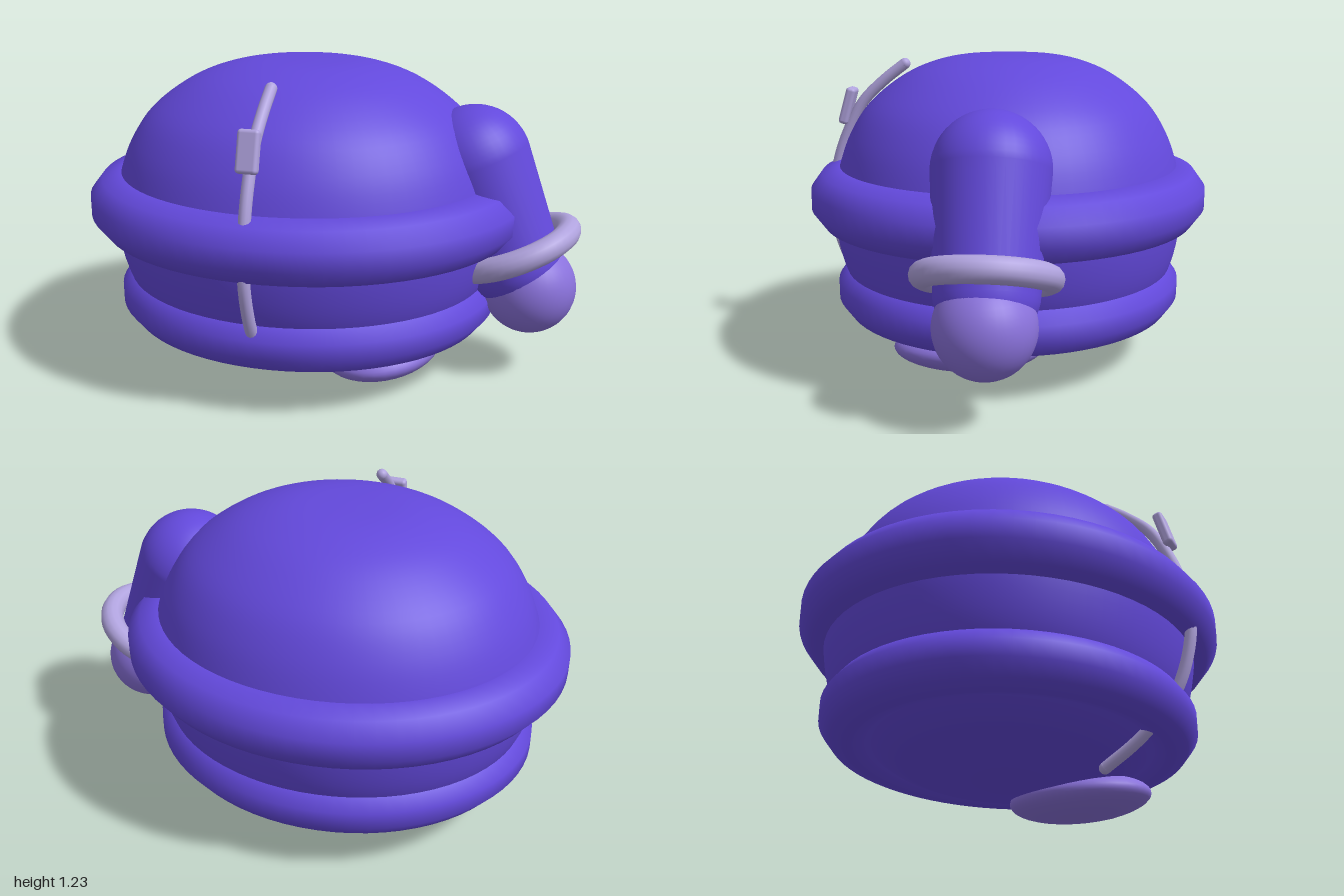
import * as THREE from 'three';
import { RoundedBoxGeometry } from 'three/addons/geometries/RoundedBoxGeometry.js';

const CX = -0.11; // body axis
const WIDE = 1.1; // body is wider than deep

function material(name, color) {
  const m = new THREE.MeshStandardMaterial({ color });
  m.name = name;
  return m;
}

// Ten-sided ring section, with the seam on the hidden inner side
function ringGeometry(radius, tube) {
  const pts = [];
  for (let i = 0; i <= 10; i++) {
    const a = THREE.MathUtils.degToRad(198 + i * 36);
    pts.push(new THREE.Vector2(radius + tube * Math.cos(a), tube * Math.sin(a)));
  }
  return new THREE.LatheGeometry(pts, 72);
}

export function createModel() {
  const group = new THREE.Group();
  const suit = material('suit violet', 0x6349dc);
  const skin = material('soft violet', 0x8a72dc);
  const trim = material('pale lavender', 0xb0a3de);

  function add(name, geometry, mat, x = 0, y = 0, z = 0) {
    const mesh = new THREE.Mesh(geometry, mat);
    mesh.name = name;
    mesh.position.set(x, y, z);
    group.add(mesh);
    return mesh;
  }

  // Rounded body, turned from a smooth profile
  const profile = new THREE.SplineCurve([
    [0, 0.08], [0.17, 0.085], [0.4, 0.13], [0.52, 0.19], [0.63, 0.29], [0.685, 0.4],
    [0.715, 0.55], [0.715, 0.68], [0.69, 0.8], [0.645, 0.92], [0.57, 1.035],
    [0.45, 1.135], [0.33, 1.195], [0.19, 1.228], [0, 1.235],
  ].map(([r, y]) => new THREE.Vector2(r, y)));
  const pts = profile.getPoints(56);
  pts[0].x = pts[pts.length - 1].x = 0;
  add('body', new THREE.LatheGeometry(pts, 72), suit, CX).scale.x = WIDE;

  // Padded rolls around the body
  add('upperRoll', ringGeometry(0.69, 0.125), suit, CX, 0.667).scale.x = WIDE;
  add('lowerRoll', ringGeometry(0.605, 0.11), suit, CX, 0.285).scale.x = WIDE;

  // Sleeve: tapered capsule leaning outward
  const sleeve = [];
  for (let i = 0; i <= 12; i++) {
    const a = -Math.PI / 2 + (i / 12) * Math.PI / 2;
    sleeve.push(new THREE.Vector2(0.188 * Math.cos(a), -0.44 + 0.16 * Math.sin(a)));
  }
  for (let i = 0; i <= 14; i++) {
    const a = (i / 14) * Math.PI / 2;
    sleeve.push(new THREE.Vector2(0.218 * Math.cos(a), 0.218 * Math.sin(a)));
  }
  sleeve[0].x = sleeve[sleeve.length - 1].x = 0;
  const lean = 0.4;
  add('sleeve', new THREE.LatheGeometry(sleeve, 40), suit, 0.575, 0.867).rotation.z = lean;

  // Cuff and hand
  const cuff = new THREE.TorusGeometry(0.222, 0.048, 14, 48).rotateX(Math.PI / 2);
  add('cuff', cuff, trim, 0.745, 0.525).rotation.z = lean;
  add('hand', new THREE.SphereGeometry(0.184, 36, 24), skin, 0.81, 0.368);

  // Foot: flattened, slightly tilted ellipsoid
  const foot = add('foot', new THREE.SphereGeometry(1, 36, 24), skin, 0.247, 0.096, 0.13);
  foot.scale.set(0.237, 0.088, 0.295);
  foot.rotation.z = 0.12;

  // Front zip following the body, with rounded ends
  const zipX = -0.105;
  const path = [
    [1.19, 0.43], [1.12, 0.52], [1.03, 0.61], [0.9, 0.68], [0.78, 0.722],
    [0.64, 0.745], [0.53, 0.742], [0.36, 0.69], [0.25, 0.61], [0.16, 0.51], [0.08, 0.385],
  ].map(([y, z]) => new THREE.Vector3(zipX, y, z));
  add('zip', new THREE.TubeGeometry(new THREE.CatmullRomCurve3(path), 60, 0.023, 12), trim);
  for (const p of [path[0], path[path.length - 1]]) {
    add('zipEnd', new THREE.SphereGeometry(0.023, 14, 10), trim, p.x, p.y, p.z);
  }

  // Zip pull
  const pull = add('zipPull', new RoundedBoxGeometry(0.082, 0.155, 0.04, 3, 0.014), trim, zipX, 1.015, 0.672);
  pull.rotation.x = -0.28;

  return group;
}
